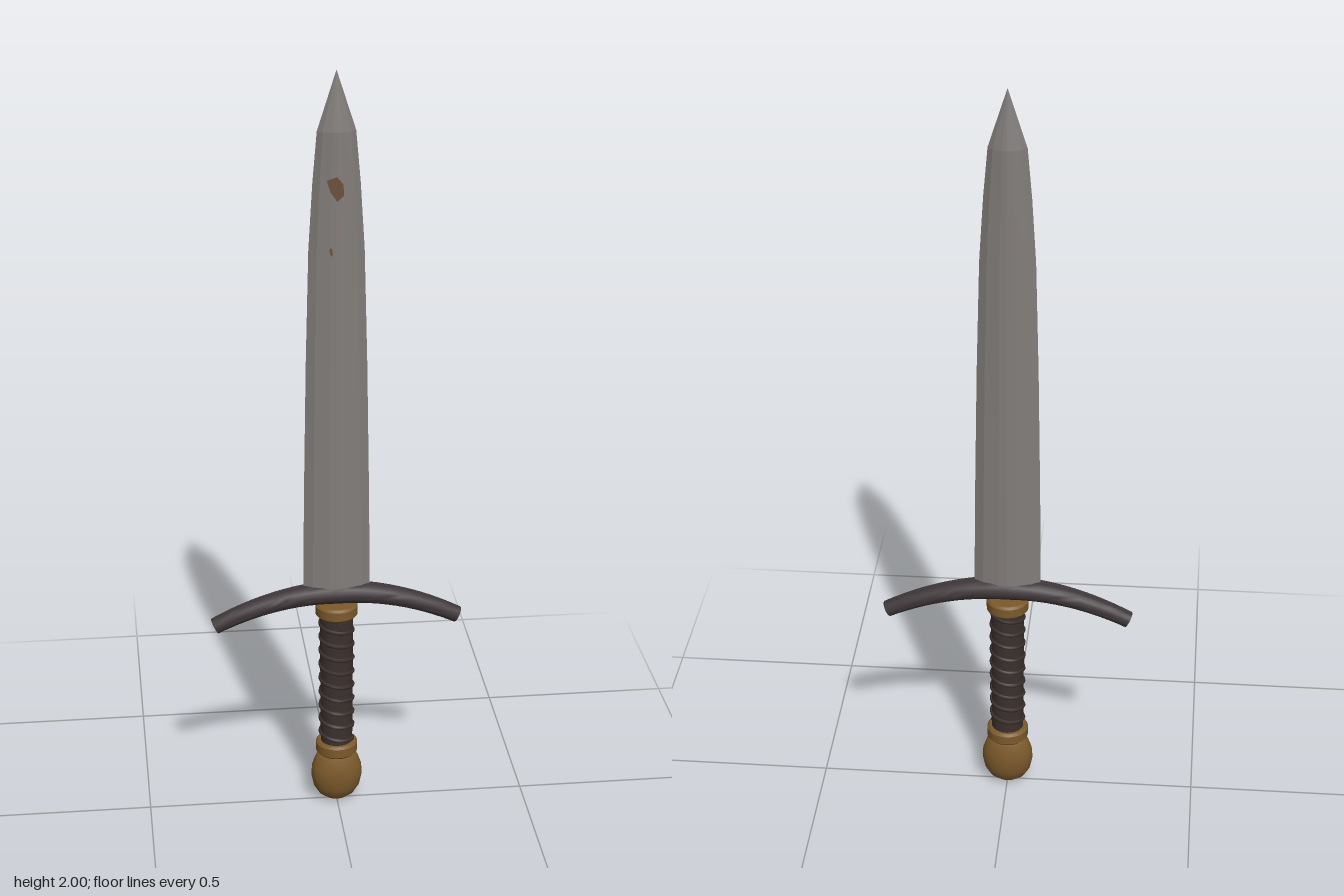
import * as THREE from 'three';
import { toCreasedNormals } from 'three/addons/utils/BufferGeometryUtils.js';

const mat = (name, color) => Object.assign(new THREE.MeshStandardMaterial({ color }), { name });

// Skin a list of closed rings, each an array of Vector3
function loft(rings, crease) {
  const n = rings[0].length, index = [];
  for (let r = 0; r < rings.length - 1; r++) {
    for (let i = 0; i < n; i++) {
      const a = r * n + i, b = r * n + (i + 1) % n;
      index.push(a, b, a + n, b, b + n, a + n);
    }
  }
  const g = new THREE.BufferGeometry().setFromPoints(rings.flat());
  g.setIndex(index);
  return toCreasedNormals(g, crease);
}

export function createModel() {
  const group = new THREE.Group();
  const steel = mat('steel', 0x827d7a);
  const iron = mat('darkIron', 0x40383a);
  const leather = mat('leather', 0x3b312e);
  const brass = mat('agedBrass', 0x7c5a2c);
  const rust = mat('rust', 0x6b5039);
  const add = (name, geometry, material, y = 0) => {
    const m = new THREE.Mesh(geometry, material);
    m.name = name;
    m.position.y = y;
    group.add(m);
    return m;
  };

  // Blade: bevelled section, tapering to a point
  const quarter = [[0.087, 0], [0.063, 0.014], [0.022, 0.024]];
  const section = [
    ...quarter.map(([x, z]) => [x, -z]), [0, -0.026],
    ...quarter.slice(1).reverse().map(([x, z]) => [-x, -z]),
    ...quarter.map(([x, z]) => [-x, z]), [0, 0.026],
    ...quarter.slice(1).reverse(),
  ];
  const stations = [[0.61, 0, 0], [0.61, 1, 1], [0.9, 0.96, 1], [1.25, 0.89, 1],
    [1.55, 0.8, 0.98], [1.72, 0.68, 0.95], [1.85, 0.55, 0.9], [2, 0, 0]];
  add('blade', loft(stations.map(([y, sx, sz]) =>
    section.map(([x, z]) => new THREE.Vector3(x * sx, y, z * sz))), 0.12), steel);

  // Rust spots on the front face
  const spot = (name, x, y, w, h) => {
    const s = new THREE.Shape([[-0.5, 0.35], [-0.3, -0.1], [0.1, -0.5], [0.5, -0.25],
      [0.45, 0.2], [0.1, 0.5]].map(([u, v]) => new THREE.Vector2(u * w, v * h)));
    const m = add(name, new THREE.ExtrudeGeometry(s, { depth: 0.004, bevelEnabled: false }), rust, y);
    m.position.x = x;
    m.position.z = 0.0215;
  };
  spot('largeRustSpot', -0.005, 1.71, 0.042, 0.062);
  spot('smallRustSpot', -0.016, 1.55, 0.008, 0.022);

  // Guard: drooping arc, thick in the middle and thinner at the ends
  const arc = new THREE.QuadraticBezierCurve3(new THREE.Vector3(-0.318, 0.533, 0),
    new THREE.Vector3(0, 0.697, 0), new THREE.Vector3(0.318, 0.533, 0));
  const guardRing = (t, scale) => {
    const p = arc.getPoint(t), d = arc.getTangent(t), k = 1 - Math.abs(2 * t - 1);
    const h = (0.0215 + 0.0085 * k) * scale, w = (0.022 + 0.013 * k) * scale;
    return Array.from({ length: 20 }, (_, i) => {
      const a = i / 20 * Math.PI * 2, u = Math.cos(a) * h;
      return new THREE.Vector3(p.x + d.y * u, p.y - d.x * u, -Math.sin(a) * w);
    });
  };
  const guardRings = [guardRing(0, 0)];
  for (let i = 0; i <= 24; i++) guardRings.push(guardRing(i / 24, 1));
  guardRings.push(guardRing(1, 0));
  add('guard', loft(guardRings, 0.7), iron);

  // Grip with a spiral wrap
  add('grip', new THREE.CylinderGeometry(0.044, 0.042, 0.4, 24), leather, 0.365);
  const turns = 9, wrapPoints = [];
  for (let i = 0; i <= turns * 16; i++) {
    const t = i / (turns * 16), a = t * turns * Math.PI * 2;
    wrapPoints.push(new THREE.Vector3(Math.cos(a) * 0.042, 0.185 + t * 0.36, Math.sin(a) * 0.042));
  }
  add('gripWrap', new THREE.TubeGeometry(new THREE.CatmullRomCurve3(wrapPoints), 260, 0.006, 6), leather);

  // Collars at both ends of the grip
  const collarProfile = [[0, -0.018], [0.049, -0.018], [0.055, -0.012], [0.055, 0.012],
    [0.049, 0.018], [0, 0.018]].map(([x, y]) => new THREE.Vector2(x, y));
  const collar = toCreasedNormals(new THREE.LatheGeometry(collarProfile, 28), 0.6);
  add('upperCollar', collar, brass, 0.567);
  add('lowerCollar', collar, brass, 0.162);

  // Pommel: egg shape flattened front to back
  const pommelProfile = [[0, 0], [0.025, 0.004], [0.046, 0.018], [0.061, 0.042], [0.068, 0.075],
    [0.066, 0.102], [0.057, 0.128], [0.046, 0.148], [0, 0.15]].map(([x, y]) => new THREE.Vector2(x, y));
  const pommel = add('pommel', new THREE.LatheGeometry(pommelProfile, 28), brass);
  pommel.scale.z = 0.68;

  return group;
}
